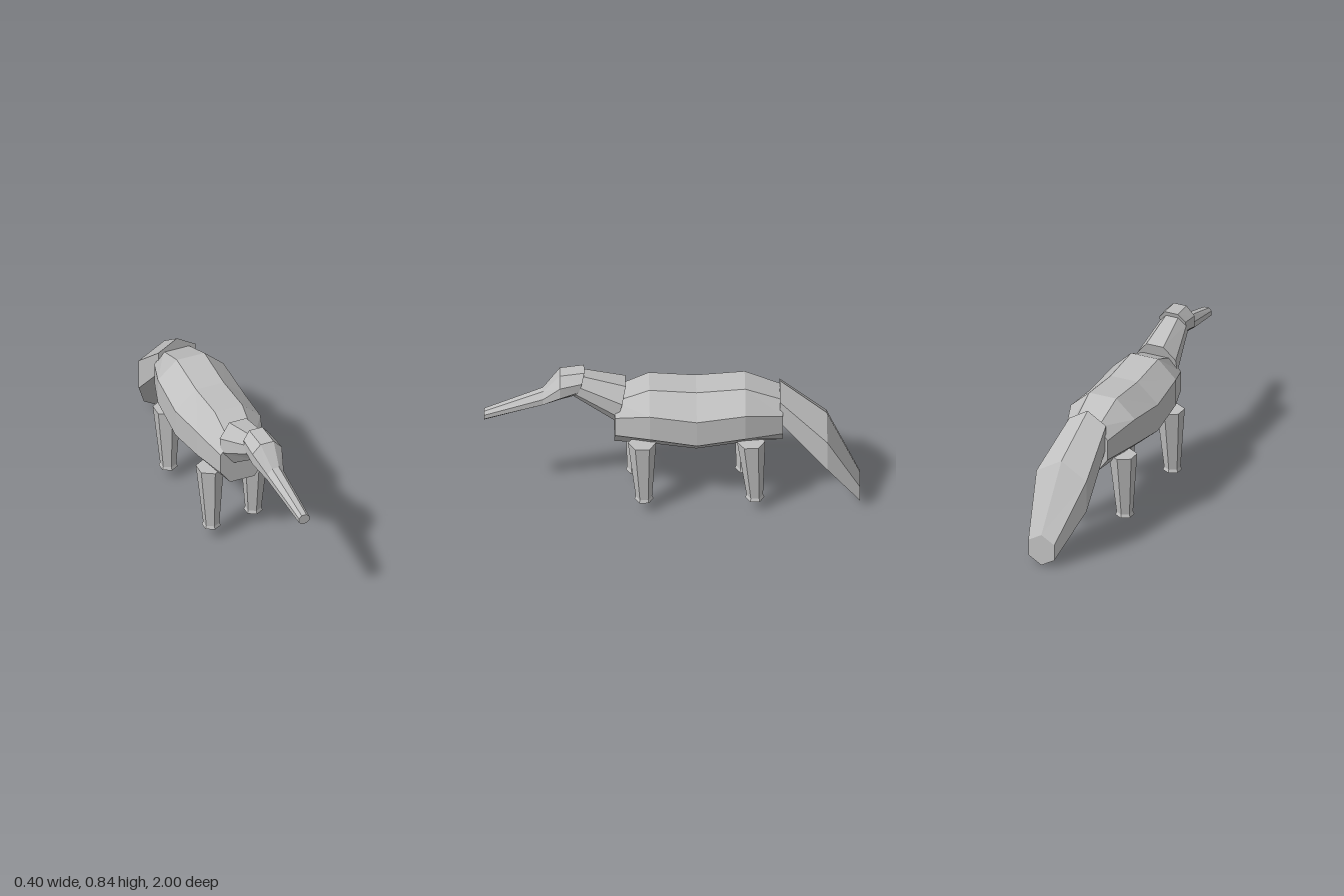
import * as THREE from 'three';

const hide = new THREE.MeshStandardMaterial({ color: 0xc0c0c0, flatShading: true });
hide.name = 'grey hide';

// Skin a closed, capped shape over equal-length rings of [x, y, z] points
// (rings run counter-clockwise seen from the end of the loft).
function loft(name, rings) {
  const n = rings[0].length;
  const index = [];
  const last = (rings.length - 1) * n;
  for (let r = 0; r < rings.length - 1; r++) {
    for (let i = 0; i < n; i++) {
      const j = (i + 1) % n;
      const a = r * n + i, b = r * n + j;
      index.push(a, b, b + n, a, b + n, a + n);
    }
  }
  for (let i = 1; i < n - 1; i++) {
    index.push(0, i + 1, i);
    index.push(last, last + i, last + i + 1);
  }
  const indexed = new THREE.BufferGeometry();
  indexed.setAttribute('position', new THREE.Float32BufferAttribute(rings.flat(2), 3));
  indexed.setIndex(index);
  const geometry = indexed.toNonIndexed();
  geometry.computeVertexNormals();
  const mesh = new THREE.Mesh(geometry, hide);
  mesh.name = name;
  return mesh;
}

// Eight-sided section: centre x, half widths of sides / top / bottom, the four
// heights from bottom to top, and z at the bottom and at the top.
function octagon(cx, side, top, bottom, [y0, y1, y2, y3], zLow, zHigh = zLow) {
  const half = [[bottom, y0], [side, y1], [side, y2], [top, y3]];
  const point = (s, [w, y]) => [cx + s * w, y, zLow + (zHigh - zLow) * (y - y0) / (y3 - y0)];
  return [
    ...half.map((p) => point(1, p)),
    ...half.reverse().map((p) => point(-1, p)),
  ];
}

// Six-sided upright section with a corner at top and bottom
function hexagon(cx, cy, halfWidth, halfHeight, z) {
  return Array.from({ length: 6 }, (_, i) => {
    const a = Math.PI / 6 + i * Math.PI / 3;
    return [cx + halfWidth * Math.cos(a) / 0.866, cy + halfHeight * Math.sin(a), z];
  });
}

// Tapered six-sided leg with a small flared foot
function leg(name, x, topZ, footZ) {
  const profile = [[0.07, 0.044, footZ], [0.087, 0.038, footZ], [0.44, 0.065, topZ]];
  return loft(name, profile.map(([y, halfWidth, z]) =>
    Array.from({ length: 6 }, (_, i) => {
      const a = Math.PI / 6 + i * Math.PI / 3;
      const r = halfWidth / 0.866;
      return [x + r * Math.cos(a), y, z - r * Math.sin(a)];
    })));
}

export function createModel() {
  const model = new THREE.Group();
  model.name = 'anteater';

  // Barrel body, rump to chest
  model.add(loft('body', [
    octagon(0, 0.125, 0.07, 0.07, [0.41, 0.485, 0.6, 0.67], -0.59),
    octagon(0, 0.19, 0.08, 0.08, [0.4, 0.5, 0.65, 0.75], -0.39),
    octagon(0, 0.2, 0.08, 0.08, [0.36, 0.465, 0.62, 0.73], -0.13),
    octagon(0, 0.185, 0.08, 0.08, [0.4, 0.5, 0.65, 0.75], 0.12),
    octagon(0, 0.125, 0.07, 0.07, [0.41, 0.487, 0.6, 0.67], 0.305),
  ]));

  // Neck rising forward
  model.add(loft('neck', [
    octagon(0, 0.113, 0.05, 0.048, [0.53, 0.6, 0.68, 0.755], 0.305, 0.245),
    octagon(0.01, 0.075, 0.035, 0.035, [0.69, 0.73, 0.78, 0.825], 0.52, 0.49),
  ]));

  // Head and long tapering snout, turned slightly to the left
  model.add(loft('head', [
    octagon(0.01, 0.077, 0.038, 0.038, [0.7, 0.745, 0.8, 0.845], 0.51, 0.465),
    octagon(0.02, 0.085, 0.038, 0.038, [0.68, 0.72, 0.785, 0.835], 0.595),
    octagon(0.03, 0.047, 0.02, 0.02, [0.64, 0.66, 0.695, 0.728], 0.685),
    octagon(0.06, 0.03, 0.014, 0.014, [0.565, 0.58, 0.605, 0.62], 1),
  ]));

  // Bushy drooping tail, swept to the left
  model.add(loft('tail', [
    hexagon(0.068, 0.093, 0.077, 0.09, -1),
    hexagon(0.034, 0.373, 0.148, 0.18, -0.825),
    hexagon(0, 0.612, 0.108, 0.133, -0.575),
  ]));

  // Legs in mid stride
  model.add(leg('frontLeftLeg', 0.13, 0.16, 0.15));
  model.add(leg('frontRightLeg', -0.13, 0.17, 0.19));
  model.add(leg('hindLeftLeg', 0.13, -0.42, -0.44));
  model.add(leg('hindRightLeg', -0.13, -0.41, -0.39));

  return model;
}
